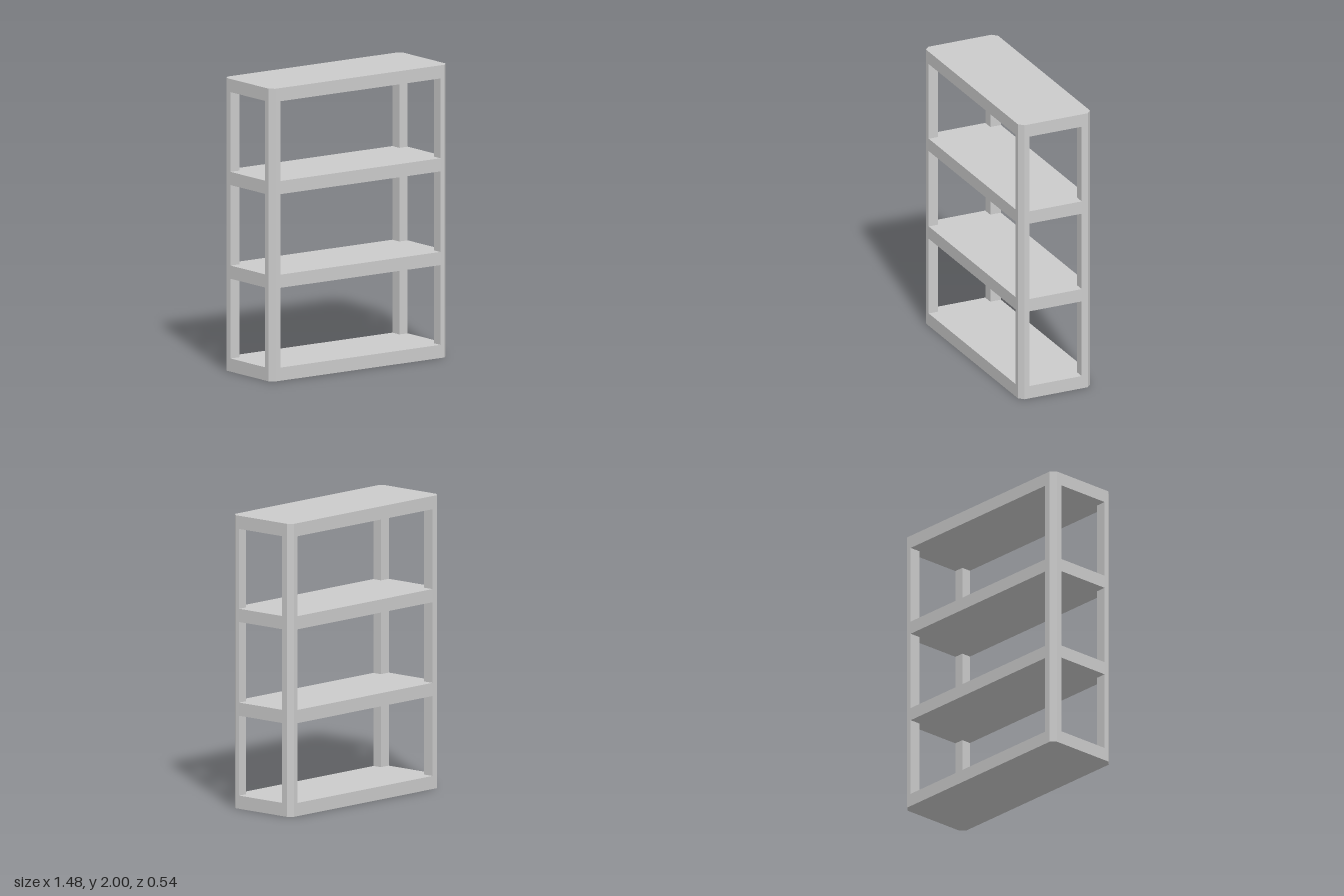
import * as THREE from 'three';

const W = 0.742, D = 0.269, CHAMFER = 0.034; // half width, half depth, corner cut
const LEFT = 0.673, RIGHT = -0.664, FRONT = 0.2, BACK = -0.19; // inner faces of the posts
const SHELF = 0.09;
const shelfBottoms = [0, 0.635, 1.275, 1.91];

const material = new THREE.MeshStandardMaterial({ color: 0xcccccc, flatShading: true });

// Extrudes a plan outline of [x, z] points upward from y = bottom
function slab(name, points, bottom, height) {
  const shape = new THREE.Shape(points.map(([x, z]) => new THREE.Vector2(x, -z)));
  const geometry = new THREE.ExtrudeGeometry(shape, { depth: height, bevelEnabled: false });
  geometry.rotateX(-Math.PI / 2).translate(0, bottom, 0);
  const mesh = new THREE.Mesh(geometry, material);
  mesh.name = name;
  return mesh;
}

export function createModel() {
  const group = new THREE.Group();
  group.name = 'shelvingUnit';

  // Shelves: full footprint with cut corners
  const cx = W - CHAMFER, cz = D - CHAMFER;
  const footprint = [
    [cx, D], [W, cz], [W, -cz], [cx, -D],
    [-cx, -D], [-W, -cz], [-W, cz], [-cx, D],
  ];
  shelfBottoms.forEach((y, i) => group.add(slab(`shelf${i + 1}`, footprint, y, SHELF)));

  // Corner posts: one section in each bay, outer corner cut like the shelves
  const corners = [
    ['frontLeftPost', 1, 1], ['frontRightPost', -1, 1],
    ['backLeftPost', 1, -1], ['backRightPost', -1, -1],
  ];
  for (const [name, sx, sz] of corners) {
    const post = new THREE.Group();
    post.name = name;
    const ix = sx > 0 ? LEFT : RIGHT, iz = sz > 0 ? FRONT : BACK;
    const outline = [
      [ix, iz], [sx * W, iz], [sx * W, sz * cz], [sx * cx, sz * D], [ix, sz * D],
    ];
    for (let i = 0; i < shelfBottoms.length - 1; i++) {
      const bottom = shelfBottoms[i] + SHELF;
      post.add(slab(`postSection${i + 1}`, outline, bottom, shelfBottoms[i + 1] - bottom));
    }
    group.add(post);
  }
  return group;
}
